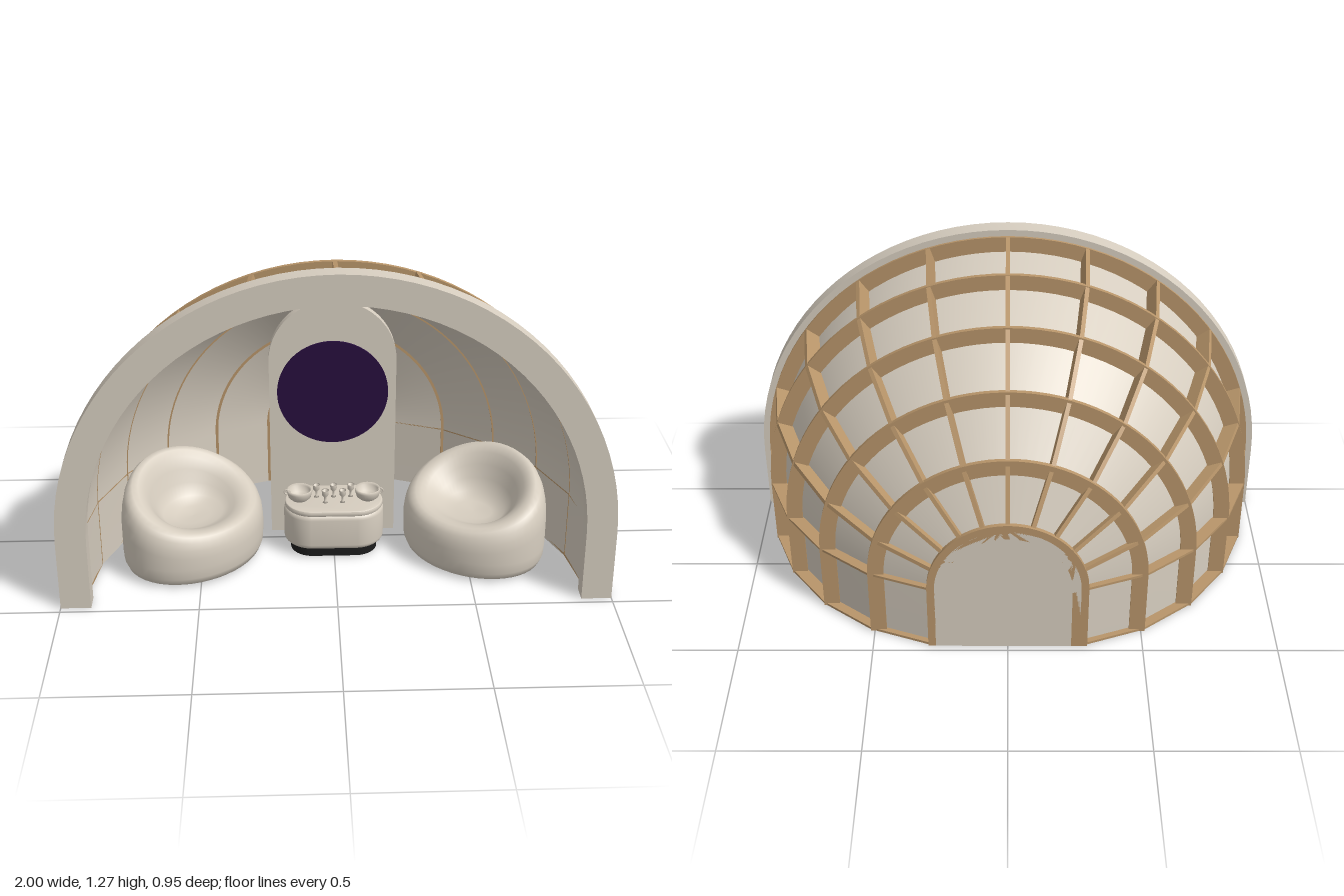
import * as THREE from 'three';
import { toCreasedNormals } from 'three/addons/utils/BufferGeometryUtils.js';

const SPRING = 0.27; // height where the arches start to curve
// [z, outer rib radius] of each rib, front to back
const STATIONS = [[0.408, 0.975], [0.175, 0.94], [-0.047, 0.85], [-0.24, 0.705], [-0.385, 0.515], [-0.467, 0.295]];
const RIB = 0.06;

export function createModel() {
  const group = new THREE.Group();
  const mat = (name, color, side = THREE.FrontSide) => {
    const m = new THREE.MeshStandardMaterial({ color, side });
    m.name = name;
    return m;
  };
  const plaster = mat('plaster', 0xd6cdbf, THREE.DoubleSide);
  const wood = mat('wood', 0xb8956a);
  const purple = mat('dark purple', 0x270e3d);
  const black = mat('black', 0x1c1c1c);

  const add = (name, geo, material, x = 0, y = 0, z = 0, parent = group) => {
    const mesh = new THREE.Mesh(geo, material);
    mesh.name = name;
    mesh.position.set(x, y, z);
    parent.add(mesh);
    return mesh;
  };

  // Arch outlines: straight legs with a half circle on top
  const archPoints = (r, spring = SPRING, n = 48) => {
    const pts = [[r, 0]];
    for (let i = 0; i <= n; i++) {
      const a = Math.PI * i / n;
      pts.push([r * Math.cos(a), spring + r * Math.sin(a)]);
    }
    pts.push([-r, 0]);
    return pts.map(p => new THREE.Vector2(...p));
  };
  const extrude = (shape, depth) =>
    toCreasedNormals(new THREE.ExtrudeGeometry(shape, { depth, bevelEnabled: false, curveSegments: 48 }), 0.4);
  const archBand = (outer, inner, depth) =>
    extrude(new THREE.Shape([...archPoints(outer), ...archPoints(inner).reverse()]), depth);
  const archPlate = (r, spring, depth) => extrude(new THREE.Shape(archPoints(r, spring)), depth);

  // Grid surface from rows of points; closed joins each row's ends
  const loft = (rows, closed) => {
    const n = rows[0].length, index = [];
    for (let j = 0; j < rows.length - 1; j++) {
      for (let i = 0; i < (closed ? n : n - 1); i++) {
        const a = j * n + i, b = j * n + (i + 1) % n;
        index.push(a, a + n, b, b, a + n, b + n);
      }
    }
    const geo = new THREE.BufferGeometry();
    geo.setAttribute('position', new THREE.Float32BufferAttribute(rows.flat(2), 3));
    geo.setIndex(index);
    geo.computeVertexNormals();
    return geo;
  };

  // Entrance arch, shell skin and back wall
  add('entranceArch', archBand(1, 0.89, 0.065), plaster, 0, 0, 0.41);
  const skinRows = STATIONS.map(([z, r]) => archPoints(r - RIB).map(p => [p.x, p.y, z]));
  add('shellSkin', toCreasedNormals(loft(skinRows, false), 0.2), plaster);
  add('backWall', archPlate(0.267, SPRING, 0.01), plaster, 0, 0, -0.475);

  // Wooden arched ribs
  STATIONS.forEach(([z, r], i) => add('rib' + (i + 1), archBand(r, r - RIB, 0.016), wood, 0, 0, z - 0.008));

  // Wooden battens running front to back
  const batten = (name, a, y0, half) => {
    const c = Math.cos(a), s = Math.sin(a);
    const rows = STATIONS.map(([z, r]) => [[r, -half], [r, half], [r - RIB, half], [r - RIB, -half]]
      .map(([d, t]) => [c * d - s * t, y0 + s * d + c * t, z]));
    add(name, toCreasedNormals(loft(rows, true), 0.05), wood);
  };
  for (let i = 0; i <= 10; i++) batten('batten' + (i + 1), Math.PI * i / 10, SPRING, i % 10 ? 0.008 : 0.005);
  batten('footBattenLeft', 0, 0.005, 0.005);
  batten('footBattenRight', Math.PI, 0.005, 0.005);

  // Standing panel with round screen and a dark foot plate behind it
  add('panel', archPlate(0.24, 0.73, 0.035), plaster, 0, 0, -0.087);
  const disc = new THREE.CylinderGeometry(0.21, 0.21, 0.008, 64).rotateX(Math.PI / 2);
  add('screen', disc, purple, 0, 0.6, -0.049);
  add('footPlate', new THREE.BoxGeometry(0.32, 0.012, 0.18), black, 0, 0.006, -0.177);

  // Rounded table with plinth and lid
  const slab = (hx, hz, height, bevel) => {
    const r = hz - bevel, off = hx - hz;
    const s = new THREE.Shape();
    s.absarc(off, 0, r, -Math.PI / 2, Math.PI / 2);
    s.absarc(-off, 0, r, Math.PI / 2, Math.PI * 1.5);
    const geo = new THREE.ExtrudeGeometry(s, {
      depth: height - 2 * bevel, bevelEnabled: bevel > 0, bevelSize: bevel,
      bevelThickness: bevel, bevelSegments: 5, curveSegments: 20,
    });
    return toCreasedNormals(geo.translate(0, 0, bevel).rotateX(-Math.PI / 2), 0.6);
  };
  const table = new THREE.Group();
  table.name = 'table';
  table.position.z = 0.062;
  group.add(table);
  add('tablePlinth', slab(0.165, 0.085, 0.045, 0), black, 0, 0, 0, table);
  add('tableBody', slab(0.19, 0.11, 0.15, 0.022), plaster, 0, 0.038, 0, table);
  add('tableTop', slab(0.187, 0.107, 0.022, 0.006), plaster, 0, 0.182, 0, table);

  // Tableware: two bowls and a row of stemmed cups
  const lathe = (pts, n) => new THREE.LatheGeometry(pts.map(p => new THREE.Vector2(...p)), n);
  const bowl = lathe([[0, 0], [0.03, 0], [0.043, 0.012], [0.049, 0.034], [0.046, 0.044], [0.04, 0.036], [0.032, 0.014], [0, 0.01]], 28);
  const cup = lathe([[0, 0], [0.01, 0], [0.004, 0.006], [0.004, 0.022], [0.012, 0.032], [0.014, 0.052], [0.011, 0.05], [0, 0.032]], 14);
  for (const side of [-1, 1]) {
    add('bowl', bowl, plaster, side * 0.13, 0.204, 0, table);
    const handle = new THREE.TorusGeometry(0.01, 0.003, 6, 14);
    add('bowlHandle', handle, plaster, side * 0.178, 0.235, 0, table);
  }
  for (let i = -2; i <= 2; i++) add('cup', cup, plaster, i * 0.033, 0.204, i % 2 ? 0.03 : -0.015, table);

  // Tub chairs: elliptical rings; the rim is low in front and high behind
  const outer = [[0, 0.005], [0.86, 0.005], [0.95, 0.014], [0.99, 0.04], [1, 0.08]];
  const wall = [[1, 0.6], [0.985, 0.75], [0.95, 0.88], [0.9, 0.96], [0.83, 1]]; // scale, part of rim height
  const bowlIn = [[0.75, 0.03], [0.67, 0.14], [0.59, 0.36], [0.52, 0.62], [0.42, 0.86], [0.25, 0.98], [0, 1]]; // scale, drop to seat
  const ring = (scale, height) => Array.from({ length: 48 }, (_, i) => {
    const t = i / 48 * Math.PI * 2, s = Math.sin(t);
    const rim = 0.2 + 0.17 * Math.pow((1 - s) / 2, 1.3);
    return [0.29 * scale * Math.cos(t), height(rim), 0.235 * scale * s];
  });
  const chairGeo = loft([
    ...outer.map(([k, y]) => ring(k, () => y)),
    ...wall.map(([k, f]) => ring(k, rim => rim * f)),
    ...bowlIn.map(([k, d]) => ring(k, rim => rim + (0.165 - rim) * d)),
  ], true);
  for (const side of [-1, 1]) {
    const chair = add(side > 0 ? 'leftChair' : 'rightChair', chairGeo, plaster, side * 0.535, 0, 0.105);
    chair.rotation.y = -side * Math.PI / 4;
  }
  return group;
}
